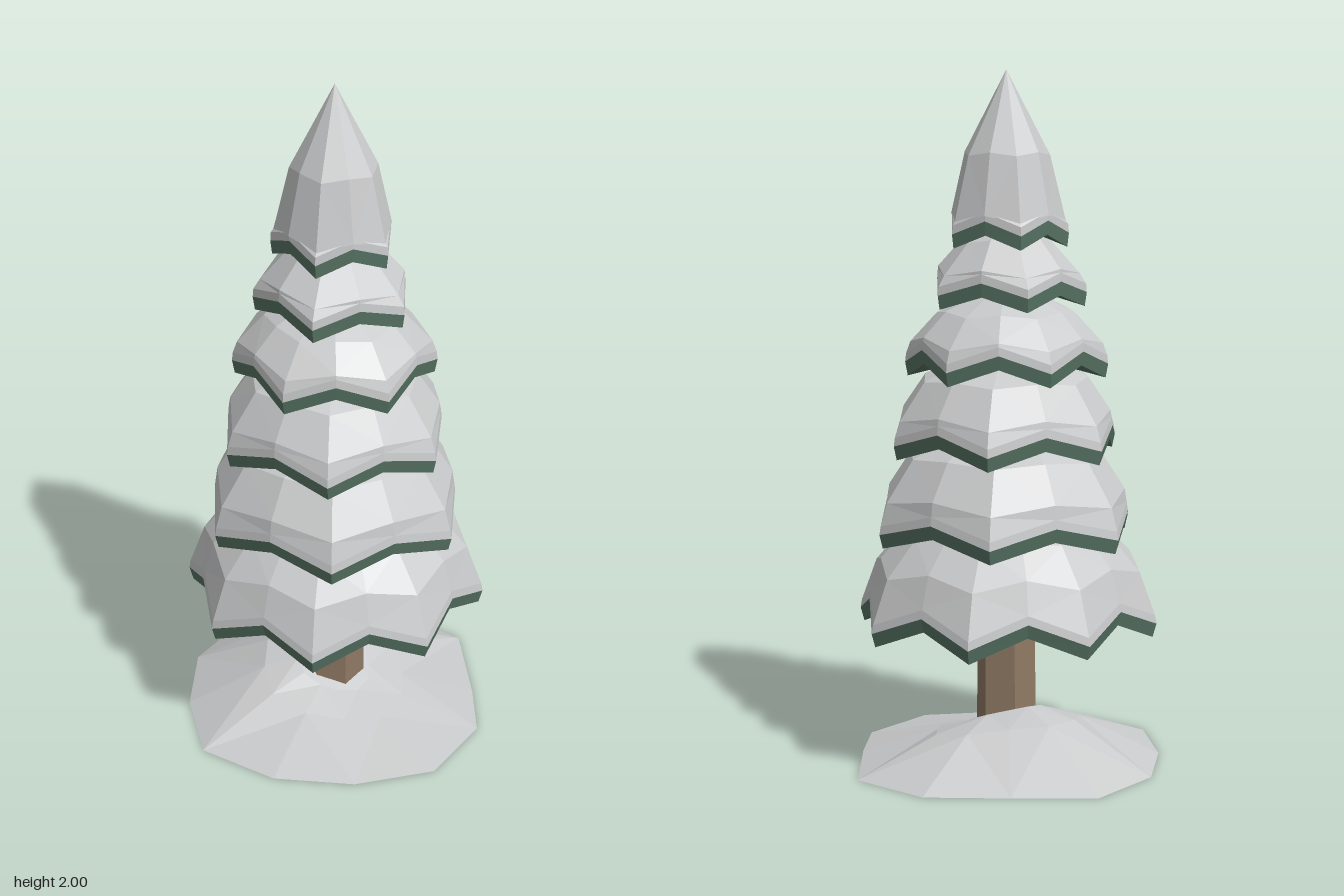
import * as THREE from 'three';

const mat = (name, color) => Object.assign(new THREE.MeshStandardMaterial({ color, flatShading: true }), { name });

// Faceted skin through rings of equal length, running counter-clockwise seen from above
function skin(rings) {
  const pos = [];
  const tri = (a, b, c) => {
    const area = b.clone().sub(a).cross(c.clone().sub(a)).length();
    if (area > 1e-7) for (const p of [a, b, c]) pos.push(p.x, p.y, p.z);
  };
  for (let k = 0; k < rings.length - 1; k++) {
    const lo = rings[k], up = rings[k + 1], n = lo.length;
    for (let i = 0; i < n; i++) {
      const j = (i + 1) % n;
      // alternate the diagonal so that facets mirror about each tip
      if (i % 2) { tri(lo[i], lo[j], up[j]); tri(lo[i], up[j], up[i]); }
      else { tri(lo[i], lo[j], up[i]); tri(lo[j], up[j], up[i]); }
    }
  }
  const g = new THREE.BufferGeometry();
  g.setAttribute('position', new THREE.Float32BufferAttribute(pos, 3));
  g.computeVertexNormals();
  return g;
}

// Zigzag ring: even points are tips, odd points are notches pulled in and up
function zigzag(n, offset, r, y, notchScale, notchRise) {
  return Array.from({ length: 2 * n }, (_, i) => {
    const a = THREE.MathUtils.degToRad(offset + (i * 180) / n);
    const rr = i % 2 ? r * notchScale : r;
    return new THREE.Vector3(rr * Math.cos(a), y + (i % 2 ? notchRise : 0), -rr * Math.sin(a));
  });
}

// Tiers from bottom to top: tip count, first tip angle, rim radius and height,
// notch scale and rise, underside peak, then [radius, height] of the snow above the rim
const TIERS = [
  { n: 8, a: 0, r: 0.448, y: 0.38, s: 0.9, d: 0.065, peak: 0.56, snow: [[0.395, 0.57], [0.3, 0.68], [0, 0.84]] },
  { n: 6, a: 22, r: 0.395, y: 0.65, s: 0.9, d: 0.05, peak: 0.74, snow: [[0.37, 0.78], [0.29, 0.9], [0, 1.04]] },
  { n: 6, a: 20, r: 0.345, y: 0.9, s: 0.9, d: 0.05, peak: 0.98, snow: [[0.325, 1.01], [0.25, 1.12], [0, 1.24]] },
  { n: 6, a: 54, r: 0.295, y: 1.125, s: 0.9, d: 0.05, peak: 1.2, snow: [[0.278, 1.225], [0.2, 1.31], [0, 1.41]] },
  { n: 5, a: 20, r: 0.232, y: 1.33, s: 0.86, d: 0.04, peak: 1.4, snow: [[0.21, 1.425], [0.13, 1.515], [0, 1.58]] },
  { n: 5, a: 18, r: 0.18, y: 1.5, s: 0.87, d: 0.04, peak: 1.57, snow: [[0.17, 1.575], [0.125, 1.76], [0, 2]] },
];

export function createModel() {
  const tree = new THREE.Group();
  tree.name = 'snowyFirTree';
  const snow = mat('snow', 0xc9cacb);
  const needles = mat('needles', 0x587565);
  const bark = mat('bark', 0x8f7963);
  const add = (parent, name, geometry, material) => {
    const m = new THREE.Mesh(geometry, material);
    m.name = name;
    parent.add(m);
    return m;
  };

  // Branch tiers: green underside and rim, with a thick snow cap on top
  TIERS.forEach((t, i) => {
    const tier = new THREE.Group();
    tier.name = `branchTier${i + 1}`;
    const ring = (r, y, s = t.s, d = t.d) => zigzag(t.n, t.a, r, y, s, d);
    const seam = ring(t.r * 0.995, t.y + 0.04);
    add(tier, 'needleRim', skin([ring(0, t.peak, 1, 0), ring(t.r * 0.97, t.y), seam]), needles);
    const [shoulder, upper, top] = t.snow;
    add(tier, 'snowCap', skin([
      seam,
      ring(t.r * 0.985, t.y + 0.065),
      ring(...shoulder, 0.93, t.d * 0.5),
      ring(...upper, 0.95, 0.01),
      ring(...top, 1, 0),
    ]), snow);
    tree.add(tier);
  });

  // Six-sided trunk
  const trunk = add(tree, 'trunk', new THREE.CylinderGeometry(0.083, 0.09, 0.53, 6), bark);
  trunk.position.y = 0.315;
  trunk.rotation.y = THREE.MathUtils.degToRad(15);

  // Snow mound, drifted higher on the right side
  const outline = [[0.49, 0], [0.405, -0.235], [0.25, -0.345], [0, -0.495], [-0.235, -0.415], [-0.37, -0.21],
    [-0.495, 0], [-0.41, 0.235], [-0.225, 0.39], [0, 0.49], [0.235, 0.4], [0.4, 0.225]];
  const drift = (scale, y, slope) =>
    outline.map(([x, z]) => new THREE.Vector3(x * scale, y - slope * x * scale, z * scale));
  add(tree, 'snowMound', skin([
    drift(0, 0, 0), drift(1, 0, 0), drift(0.48, 0.095, 0.2), drift(0.24, 0.125, 0.4), drift(0, 0.13, 0),
  ]), snow);

  return tree;
}
